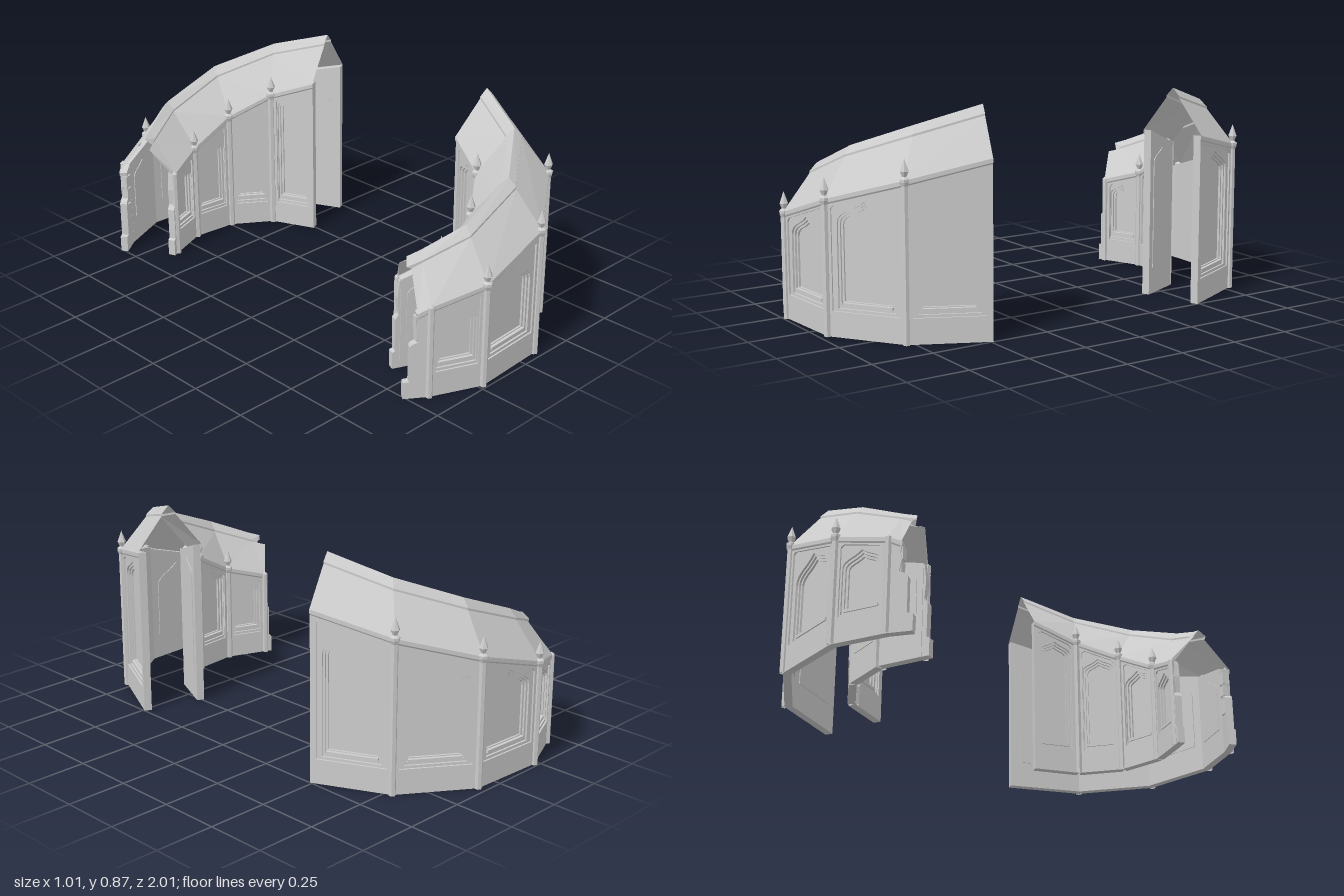
import * as THREE from 'three';

const mat = new THREE.MeshStandardMaterial({ color: 0xcccccc, flatShading: true, side: THREE.DoubleSide });

// Plan corners [x, z] from the tall open end to the broken end
const OUTER = [[0.5, 0.49], [0.36, 0.78], [0.09, 0.968], [-0.23, 0.984], [-0.43, 0.895]];
const INNER = [[0.24, 0.41], [0.16, 0.59], [0.005, 0.697], [-0.18, 0.715], [-0.345, 0.65]];
const RIDGE = [[0.37, 0.45], [0.265, 0.68], [0.05, 0.835], [-0.205, 0.852], [-0.365, 0.78]];
const EAVE = [0.69, 0.615, 0.525, 0.425, 0.375];
const PEAK = [0.872, 0.8, 0.71, 0.61, 0.54];
const BASE = 0.1;

function add(group, geo, name, matrix) {
  const g = geo.index ? geo.toNonIndexed() : geo;
  if (matrix) g.applyMatrix4(matrix);
  g.computeVertexNormals();
  const mesh = new THREE.Mesh(g, mat);
  mesh.name = name;
  group.add(mesh);
}

// Local frame of a wall: x along it, y up, z out of its face
function wallFrame(a, b) {
  const u = new THREE.Vector3(b[0] - a[0], 0, b[1] - a[1]);
  const length = u.length();
  u.normalize();
  const up = new THREE.Vector3(0, 1, 0);
  const m = new THREE.Matrix4().makeBasis(u, up, u.clone().cross(up)).setPosition(a[0], 0, a[1]);
  return { m, length };
}

const poly = pts => pts.map(p => new THREE.Vector2(p[0], p[1]));

function slab(group, name, m, outline, hole, back, depth) {
  const shape = new THREE.Shape(poly(outline));
  if (hole) shape.holes.push(new THREE.Path(poly(hole)));
  const geo = new THREE.ExtrudeGeometry(shape, { depth, bevelEnabled: false });
  add(group, geo.translate(0, 0, back), name, m);
}

// Pointed ogee arch outline
function arch(c, w, bottom, shoulder, apex) {
  const r = apex - shoulder;
  const half = [[1, 0], [0.96, 0.2], [0.85, 0.36], [0.68, 0.5], [0.4, 0.66], [0.18, 0.82]];
  return [[c - w, bottom], [c + w, bottom],
    ...half.map(([x, y]) => [c + x * w, shoulder + y * r]), [c, apex],
    ...half.slice().reverse().map(([x, y]) => [c - x * w, shoulder + y * r])];
}

// One bay: raised border, field, stepped arch and blind pane
function bay(group, a, b, ha, hb) {
  const { m, length: L } = wallFrame(a, b);
  const g = new THREE.Group();
  g.name = 'wallBay';
  group.add(g);
  const whole = [[0, 0], [L, 0], [L, hb], [0, ha]];
  const inset = 0.024, slope = (hb - ha) / L;
  const top = u => ha + slope * u - 0.03;
  const bevel = 0.012;
  const panel = [[inset, BASE], [L - inset, BASE], [L - inset, top(L - inset) - bevel],
    [L - inset - bevel, top(L - inset - bevel)], [inset + bevel, top(inset + bevel)], [inset, top(inset) - bevel]];
  const c = L / 2, w = L * 0.36, apex = (ha + hb) / 2 - 0.045, sh = apex - w * 0.75;
  slab(g, 'panelBorder', m, whole, panel, -0.007, 0.007);
  const steps = [[0, 0.011], [0.009, 0.022], [0.018, 0.036]];
  steps.forEach(([d, sill], i) => {
    slab(g, 'archStep', m, whole, arch(c, w - d, BASE + sill, sh - d * 0.4, apex - d * 1.2), -0.015 - i * 0.008, 0.008);
  });
  slab(g, 'blindPane', m, arch(c, w, BASE + 0.01, sh, apex), null, -0.034, 0.003);
  // Window sill
  add(g, new THREE.BoxGeometry(w * 1.75, 0.012, 0.016).translate(c, BASE + 0.026, -0.018), 'sill', m);
}

// Corner post, with a budded finial when asked
function post(group, [x, z], h, finial) {
  const pts = finial
    ? [[0.014, 0], [0.014, h - 0.02], [0.02, h - 0.005], [0.02, h + 0.006], [0.009, h + 0.014],
      [0.018, h + 0.034], [0.009, h + 0.058], [0, h + 0.082]]
    : [[0.013, 0], [0.013, h], [0, h + 0.012]];
  add(group, new THREE.LatheGeometry(poly(pts), 6).translate(x, 0, z), finial ? 'finialPost' : 'endPost');
}

// Roof cross-section: eave lip, slope, ridge capping, slope, eave lip
function roofSection(o, r, n, eave, peak) {
  const O = new THREE.Vector3(o[0], eave, o[1]);
  const R = new THREE.Vector3(r[0], peak, r[1]);
  const N = new THREE.Vector3(n[0], eave, n[1]);
  const lip = (p, d) => { const q = p.clone().lerp(R, -0.03); q.y = p.y + d; return q; };
  const side = E => {
    const crease = E.clone().lerp(R, 0.78);
    const cap = crease.clone();
    cap.y += 0.008;
    return [E.clone().setY(eave - 0.022), lip(E, -0.016), lip(E, 0), crease, cap];
  };
  return [...side(O), R, ...side(N).reverse()];
}

function roof(group) {
  const rows = OUTER.map((o, i) => roofSection(o, RIDGE[i], INNER[i], EAVE[i], PEAK[i]));
  // Torn last edge
  const end = roofSection([-0.468, 0.868], [-0.42, 0.752], [-0.352, 0.648], 0.352, 0.522);
  const jag = [0, 0, -0.004, 0.012, -0.004, 0.006, 0.02, -0.012, 0.008, -0.006, 0];
  end.forEach((p, i) => { p.x += jag[i]; p.z += jag[i] * 0.6; });
  rows.push(end);
  const pos = [], idx = [], n = end.length;
  rows.forEach(r => r.forEach(p => pos.push(p.x, p.y, p.z)));
  for (let i = 0; i < rows.length - 1; i++) {
    for (let j = 0; j < n - 1; j++) {
      const a = i * n + j, b = a + n;
      idx.push(a, a + 1, b, b, a + 1, b + 1);
    }
  }
  const geo = new THREE.BufferGeometry();
  geo.setAttribute('position', new THREE.Float32BufferAttribute(pos, 3));
  geo.setIndex(idx);
  add(group, geo, 'roof');
}

// Crumbled wall ends and loose stones
function brokenEnd(group) {
  const o = wallFrame([-0.51, 0.838], OUTER[4]);
  const e = o.length;
  slab(group, 'brokenOuterWall', o.m, [[0, 0], [e, 0], [e, 0.375], [0.045, 0.352], [0.052, 0.31], [0.045, 0.285],
    [0.055, 0.235], [0.03, 0.225], [0.022, 0.215], [0.022, 0.07], [0, 0.068]], null, -0.03, 0.03);
  for (const [u, y, w, h] of [[0.06, 0.255, 0.03, 0.045], [0.058, 0.31, 0.035, 0.05], [0.045, 0.18, 0.035, 0.06]]) {
    add(group, new THREE.BoxGeometry(w, h, 0.026).rotateY(0.25).translate(u, y, -0.022), 'looseStone', o.m);
  }
  const i = wallFrame(INNER[4], [-0.375, 0.637]);
  slab(group, 'brokenInnerWall', i.m, [[0, 0], [0.03, 0], [0.03, 0.07], [0.018, 0.075], [0.02, 0.21], [0.006, 0.23],
    [0.012, 0.3], [0.004, 0.37], [0, 0.37]], null, -0.03, 0.03);
}

function corridor() {
  const g = new THREE.Group();
  g.name = 'frontCorridor';
  for (let i = 0; i < 4; i++) {
    bay(g, OUTER[i + 1], OUTER[i], EAVE[i + 1], EAVE[i]);
    bay(g, INNER[i], INNER[i + 1], EAVE[i], EAVE[i + 1]);
  }
  for (const line of [OUTER, INNER]) {
    for (let i = 1; i < 5; i++) post(g, line[i], EAVE[i], i < 4);
  }
  roof(g);
  brokenEnd(g);
  return g;
}

// Copy reflected in z, with the winding turned round
function mirrored(src) {
  const copy = src.clone(true);
  copy.name = 'backCorridor';
  copy.traverse(o => {
    if (!o.isMesh) return;
    o.geometry = o.geometry.clone().scale(1, 1, -1);
    const p = o.geometry.attributes.position;
    const a = new THREE.Vector3(), b = new THREE.Vector3();
    for (let i = 0; i < p.count; i += 3) {
      a.fromBufferAttribute(p, i + 1);
      b.fromBufferAttribute(p, i + 2);
      p.setXYZ(i + 1, b.x, b.y, b.z);
      p.setXYZ(i + 2, a.x, a.y, a.z);
    }
    o.geometry.computeVertexNormals();
  });
  return copy;
}

export function createModel() {
  const model = new THREE.Group();
  model.name = 'ruinedCloister';
  const front = corridor();
  model.add(front, mirrored(front));
  return model;
}
